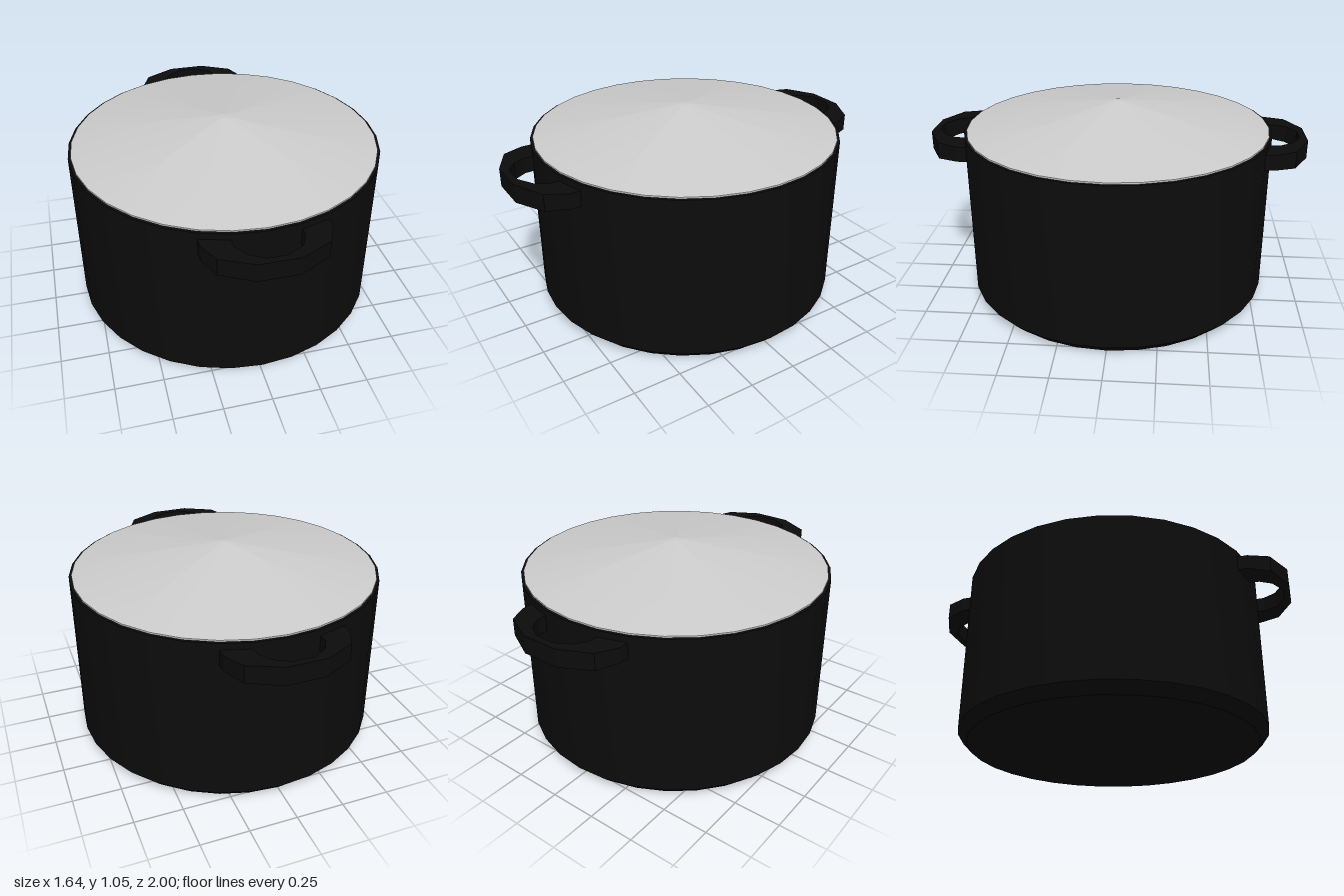
import * as THREE from 'three';
import { toCreasedNormals } from 'three/addons/utils/BufferGeometryUtils.js';

const SIDES = 32;

function lathe(profile, crease) {
  const points = profile.map(([r, y]) => new THREE.Vector2(r, y));
  return toCreasedNormals(new THREE.LatheGeometry(points, SIDES), crease);
}

// Half outlines of the handle loop, as (x, z) from the pot outwards
const OUTER = [[0.31, 0.72], [0.31, 0.81], [0.26, 0.92], [0.1, 1]];
const INNER = [[0.05, 0.965], [0.13, 0.915], [0.165, 0.85], [0.165, 0.74]];

function handleGeometry() {
  const mirror = (pts) => pts.map(([x, z]) => [-x, z]).reverse();
  const outline = [...OUTER, ...mirror(OUTER), ...mirror(INNER), ...INNER];
  const shape = new THREE.Shape(outline.map(([x, z]) => new THREE.Vector2(x, z)));
  const geometry = new THREE.ExtrudeGeometry(shape, { depth: 0.08, bevelEnabled: false });
  geometry.translate(0, 0, -0.04).rotateX(Math.PI / 2);
  // The grip thickens slightly towards its outer end
  const p = geometry.attributes.position;
  for (let i = 0; i < p.count; i++) {
    const t = THREE.MathUtils.clamp((p.getZ(i) - 0.81) / 0.19, 0, 1);
    p.setY(i, p.getY(i) * (1 + 0.19 * t) + 0.838);
  }
  geometry.computeVertexNormals();
  return geometry;
}

export function createModel() {
  const model = new THREE.Group();
  model.name = 'cookingPot';

  const black = new THREE.MeshStandardMaterial({ color: 0x0c0c0c });
  black.name = 'blackEnamel';
  const steel = new THREE.MeshStandardMaterial({ color: 0xcccccc });
  steel.name = 'lightSteel';

  const add = (name, geometry, material) => {
    const mesh = new THREE.Mesh(geometry, material);
    mesh.name = name;
    model.add(mesh);
    return mesh;
  };

  // Hollow body with a chamfered foot and a narrow rim
  add('potBody', lathe([
    [0, 0], [0.77, 0], [0.82, 0.052], [0.82, 0.912],
    [0.79, 0.912], [0.79, 0.06], [0, 0.06],
  ], 0.5), black);

  // Shallow conical lid with a small flat tip
  add('lid', lathe([
    [0, 0.905], [0.806, 0.905], [0.806, 0.92], [0.022, 1.054], [0, 1.054],
  ], 0.15), steel);

  // One looped handle at the front and one at the back
  const handle = handleGeometry();
  add('frontHandle', handle, black);
  add('backHandle', handle, black).rotation.y = Math.PI;

  return model;
}
